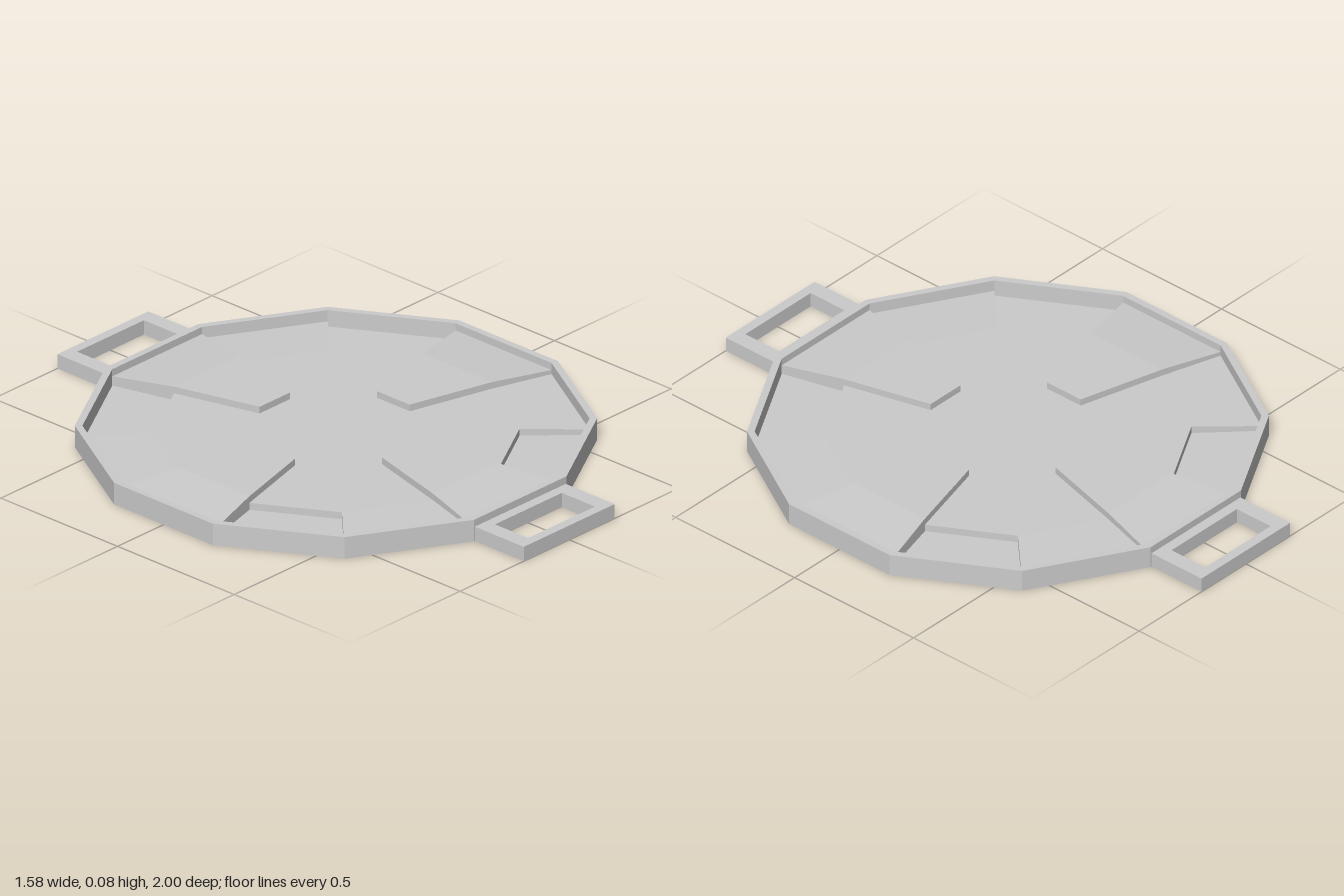
import * as THREE from 'three';

const SIDES = 12;
const STEP = Math.PI / SIDES; // half the angle of one side
const FLOOR = 0.018, PLATE = 0.042;

const material = new THREE.MeshStandardMaterial({ color: 0xcccccc, flatShading: true });

function add(parent, name, geometry) {
  const mesh = new THREE.Mesh(geometry, material);
  mesh.name = name;
  parent.add(mesh);
  return mesh;
}

// Radius of a corner for a polygon whose sides lie at distance d
const corner = (d) => d / Math.cos(STEP);

// Radial block spanning one side of the polygon; radii and tops run outward
function wedge(radii, tops, bottom) {
  const n = radii.length - 1;
  const g = new THREE.BoxGeometry(2, 1, 1, 1, 1, n);
  const p = g.attributes.position;
  for (let i = 0; i < p.count; i++) {
    const k = Math.round((p.getZ(i) + 0.5) * n);
    const r = radii[k];
    p.setXYZ(i, p.getX(i) * r * Math.tan(STEP), p.getY(i) > 0 ? tops[k] : bottom, r);
  }
  g.computeVertexNormals();
  return g;
}

export function createModel() {
  const model = new THREE.Group();
  model.name = 'roundHatch';

  // Shallow tray: underside, outer wall, rim, inner wall and floor
  const profile = [[0, 0], [0.79, 0], [0.79, 0.075], [0.767, 0.075], [0.767, FLOOR], [0, FLOOR]]
    .map(([d, y]) => new THREE.Vector2(corner(d), y));
  add(model, 'tray', new THREE.LatheGeometry(profile, SIDES, STEP));

  // Raised centre plate
  const plate = add(model, 'centrePlate',
    new THREE.CylinderGeometry(corner(0.555), corner(0.555), PLATE - FLOOR, SIDES, 1, false, STEP));
  plate.position.y = (PLATE + FLOOR) / 2;

  // Four folded tabs, each followed by a raised ring panel
  for (let i = 0; i < 4; i++) {
    const a = i * Math.PI / 2;
    add(model, 'tab', wedge([0.262, 0.555, 0.767], [0.065, 0.065, 0.05], FLOOR)).rotation.y = a;
    add(model, 'ringPanel', wedge([0.555, 0.767], [PLATE, PLATE - 0.006], FLOOR)).rotation.y = a + Math.PI / 3;
  }

  // Flat loop handles at front and back
  const shape = new THREE.Shape([[-0.208, -1], [0.208, -1], [0.208, -0.785], [-0.208, -0.785]]
    .map(([x, y]) => new THREE.Vector2(x, y)));
  shape.holes.push(new THREE.Path([[-0.153, -0.967], [-0.153, -0.825], [0.153, -0.825], [0.153, -0.967]]
    .map(([x, y]) => new THREE.Vector2(x, y))));
  const handle = new THREE.ExtrudeGeometry(shape, { depth: 0.05, bevelEnabled: false }).rotateX(-Math.PI / 2);
  add(model, 'frontHandle', handle);
  add(model, 'backHandle', handle).rotation.y = Math.PI;

  return model;
}
